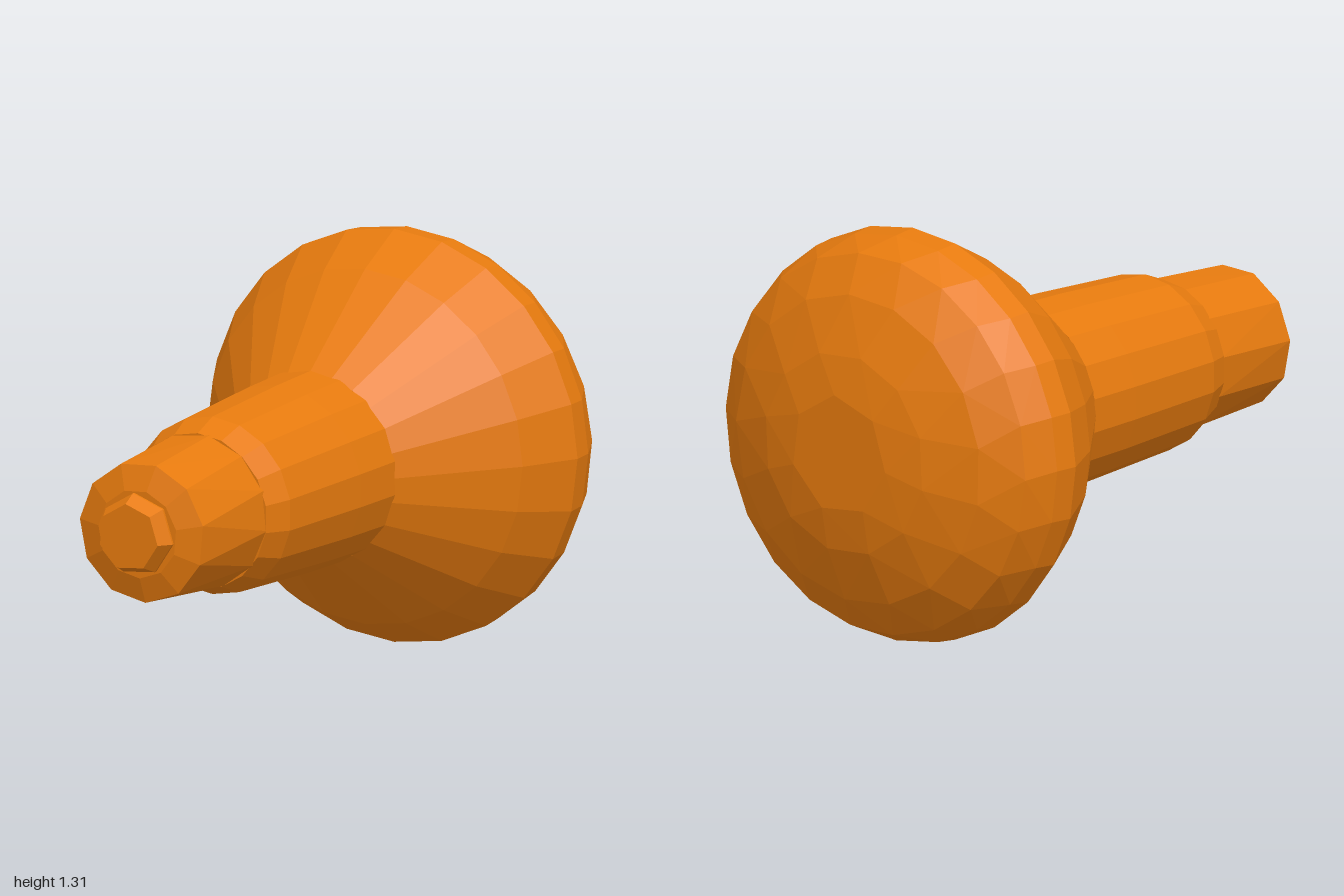
import * as THREE from 'three';
import { ConvexGeometry } from 'three/addons/geometries/ConvexGeometry.js';

// Faceted hull through rings around the z axis: [z, radius, sides, turn in side steps]
function hull(rings) {
  const points = [];
  for (const [z, r, sides, turn = 0] of rings) {
    for (let i = 0; i < sides; i++) {
      const a = ((i + turn) / sides) * Math.PI * 2;
      points.push(new THREE.Vector3(Math.sin(a) * r, Math.cos(a) * r, z));
    }
  }
  return new ConvexGeometry(points);
}

export function createModel() {
  const orange = new THREE.MeshStandardMaterial({ color: 0xe67a0e, flatShading: true });
  orange.name = 'orange';

  const parts = {
    // flared cone with a rounded, irregularly faceted dome at the back
    bulb: [
      [-0.12, 0.302, 24], [-0.46, 0.562, 24], [-0.64, 0.654, 24], [-0.72, 0.646, 24],
      [-0.82, 0.602, 22, 0.4], [-0.905, 0.49, 17, 0.2], [-0.973, 0.32, 12, 0.6], [-1, 0.19, 7, 0.1],
    ],
    // tapering neck ending in a small shoulder
    neck: [[-0.125, 0.306, 18], [0.08, 0.301, 18], [0.48, 0.281, 18], [0.57, 0.246, 18]],
    // narrower end section
    base: [[0.56, 0.246, 12, 0.3], [0.915, 0.222, 11, 0.4], [0.942, 0.14, 11, 0.4]],
    // contact tip
    tip: [[0.93, 0.13, 7, -0.1], [0.95, 0.13, 7, -0.1], [1, 0.106, 7, -0.1]],
  };

  const group = new THREE.Group();
  group.name = 'lightBulb';
  for (const [name, rings] of Object.entries(parts)) {
    const mesh = new THREE.Mesh(hull(rings), orange);
    mesh.name = name;
    mesh.position.y = 0.655;
    group.add(mesh);
  }
  return group;
}
